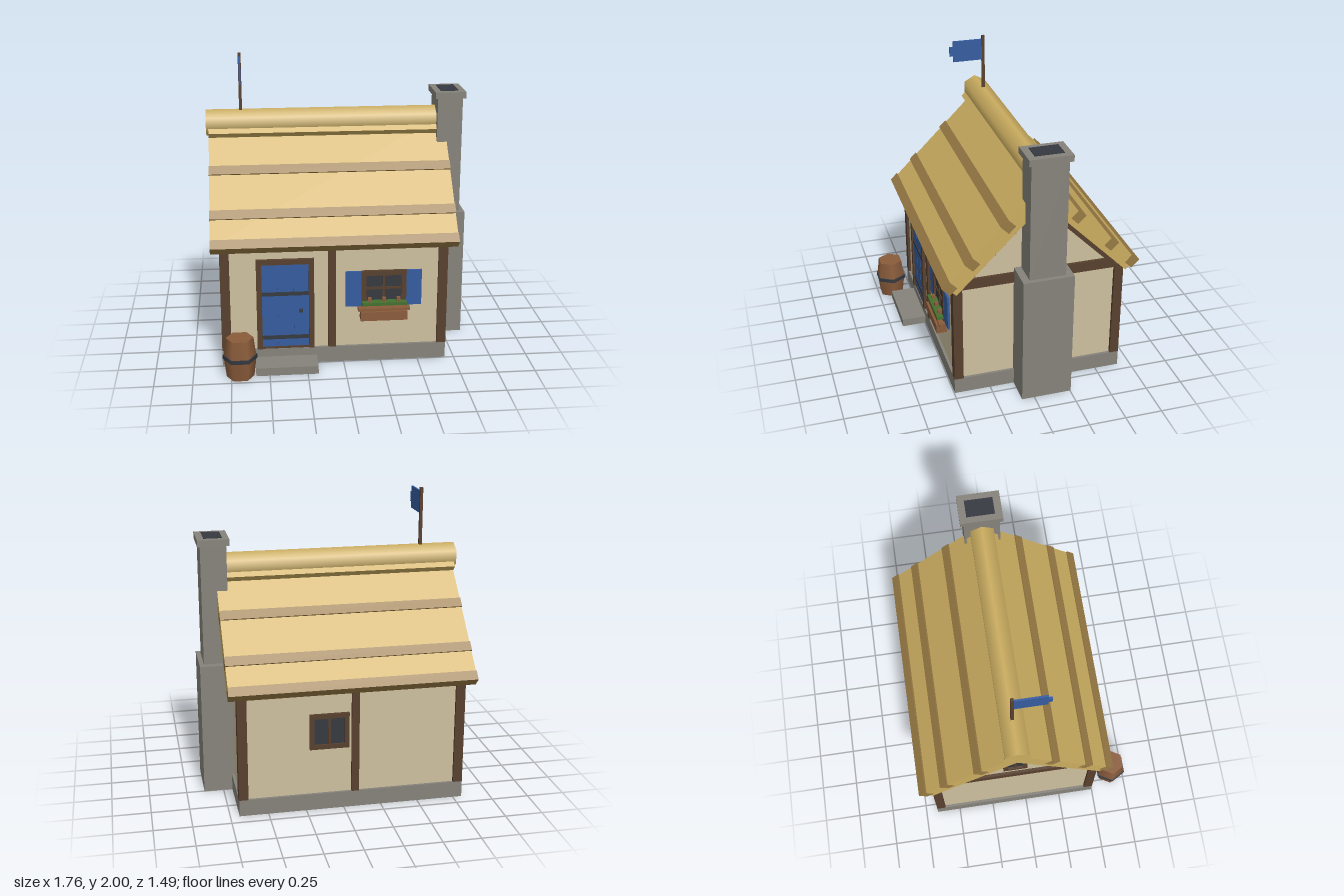
import * as THREE from 'three';

const mat = (name, color) => {
  const m = new THREE.MeshStandardMaterial({ color });
  m.name = name;
  return m;
};

export function createModel() {
  const straw = mat('straw', 0xcbad60);
  const darkStraw = mat('dark straw', 0x987a44);
  const timber = mat('timber', 0x58402e);
  const plaster = mat('plaster', 0xcdc09f);
  const stone = mat('stone', 0x86837b);
  const iron = mat('iron and glass', 0x353a40);
  const blue = mat('blue paint', 0x355c9f);
  const wood = mat('warm wood', 0x8a5c3b);
  const green = mat('leaves', 0x44702f);

  const model = new THREE.Group();
  model.name = 'cottage';
  const ZC = -0.085; // depth of the ridge line
  const XC = -0.06; // middle of the house

  const add = (name, geo, m, x = 0, y = 0, z = 0, parent = model) => {
    const mesh = new THREE.Mesh(geo, m);
    mesh.name = name;
    mesh.position.set(x, y, z);
    parent.add(mesh);
    return mesh;
  };
  // Box given by its limits
  const box = (name, m, x0, x1, y0, y1, z0, z1, parent = model) =>
    add(name, new THREE.BoxGeometry(x1 - x0, y1 - y0, z1 - z0), m,
      (x0 + x1) / 2, (y0 + y1) / 2, (z0 + z1) / 2, parent);
  const group = (name) => {
    const g = new THREE.Group();
    g.name = name;
    model.add(g);
    return g;
  };

  // Foundation, step and gabled plaster body
  box('foundation', stone, -0.81, 0.69, 0, 0.11, -0.665, 0.495);
  box('doorStep', stone, -0.59, -0.18, 0, 0.055, 0.49, 0.665);
  const gable = new THREE.Shape();
  gable.moveTo(-0.562, 0.11);
  gable.lineTo(0.562, 0.11);
  gable.lineTo(0.562, 0.84);
  gable.lineTo(0, 1.4);
  gable.lineTo(-0.562, 0.84);
  const body = new THREE.ExtrudeGeometry(gable, { depth: 1.464, bevelEnabled: false });
  body.rotateY(Math.PI / 2);
  add('walls', body, plaster, XC - 0.732, 0, ZC);

  // Timber frame: posts, end beams and sloping gable braces
  for (const [z0, z1] of [[0.433, 0.495], [-0.665, -0.603]]) {
    box('cornerPost', timber, -0.81, -0.748, 0.11, 0.815, z0, z1);
    box('cornerPost', timber, 0.63, 0.692, 0.11, 0.815, z0, z1);
    box('middlePost', timber, -0.102, -0.052, 0.11, 0.815, z0, z1);
  }
  for (const s of [-1, 1]) {
    const x = XC + s * 0.735;
    box('endBeam', timber, x - 0.016, x + 0.016, 0.795, 0.865, -0.61, 0.44);
    for (const side of [-1, 1]) {
      const brace = add('gableBrace', new THREE.BoxGeometry(0.03, 0.04, 0.465), timber,
        x, 1.035, ZC + side * 0.31);
      brace.rotation.x = side * Math.PI / 4;
    }
  }

  // Thatched roof: two slabs that cross at the ridge, with raised bands
  const slope = (name, m, side, width, thick, length, sum, diff) => {
    const part = add(name, new THREE.BoxGeometry(width, thick, length), m,
      XC + 0.002, (sum + diff) / 2, ZC + side * (sum - diff) / 2);
    part.rotation.x = side * Math.PI / 4;
  };
  for (const side of [-1, 1]) {
    slope('roofSlab', straw, side, 1.612, 0.1, 0.955, 1.44, 0.905);
    for (const d of [1.01, 0.545, 0.245])
      slope('roofBand', darkStraw, side, 1.616, 0.075, 0.066, 1.4725, d);
  }
  const ridge = new THREE.CylinderGeometry(0.09, 0.09, 1.64, 6);
  ridge.rotateY(Math.PI / 2);
  ridge.rotateZ(Math.PI / 2);
  add('ridgeRoll', ridge, straw, XC, 1.53, ZC);

  // Chimney
  box('chimneyBase', stone, 0.66, 0.88, 0, 0.895, -0.255, 0.085);
  box('chimneyStack', stone, 0.68, 0.85, 0.88, 1.7, -0.205, 0.037);
  box('chimneyCap', stone, 0.66, 0.868, 1.692, 1.735, -0.227, 0.057);
  box('chimneyOpening', iron, 0.703, 0.823, 1.733, 1.74, -0.18, 0.008);

  // Door with planks, straps and knob
  const door = group('door');
  box('doorFrame', timber, -0.575, -0.54, 0.11, 0.745, 0.46, 0.5, door);
  box('doorFrame', timber, -0.23, -0.195, 0.11, 0.745, 0.46, 0.5, door);
  box('doorLintel', timber, -0.54, -0.23, 0.71, 0.745, 0.46, 0.5, door);
  box('doorSill', timber, -0.54, -0.23, 0.11, 0.125, 0.46, 0.49, door);
  box('doorBack', blue, -0.54, -0.23, 0.125, 0.71, 0.46, 0.482, door);
  for (const x of [-0.539, -0.434, -0.329])
    box('doorPlank', blue, x, x + 0.097, 0.125, 0.709, 0.47, 0.488, door);
  for (const y of [0.18, 0.49])
    box('doorStrap', iron, -0.54, -0.23, y, y + 0.025, 0.48, 0.495, door);
  box('doorKnob', iron, -0.292, -0.27, 0.37, 0.392, 0.48, 0.505, door);

  // Window facing +z of its own group, centred on the origin
  const makeWindow = (name, w, h, bar, crossBar, x, y, z, turn) => {
    const g = group(name);
    const a = w / 2, b = h / 2;
    box('glass', iron, -a + 0.01, a - 0.01, -b + 0.01, b - 0.01, -0.01, 0.006, g);
    for (const s of [-1, 1]) {
      const cx = s * (a - bar / 2), cy = s * (b - bar / 2);
      box('windowJamb', timber, cx - bar / 2, cx + bar / 2, -b, b, -0.01, 0.02, g);
      box('windowRail', timber, -a + bar, a - bar, cy - bar / 2, cy + bar / 2, -0.01, 0.02, g);
    }
    box('mullion', timber, -0.008, 0.008, -b + bar, b - bar, -0.01, 0.014, g);
    if (crossBar) box('crossBar', timber, -a + bar, a - bar, -0.008, 0.008, -0.01, 0.013, g);
    g.position.set(x, y, z);
    g.rotation.y = turn;
  };
  makeWindow('frontWindow', 0.3, 0.25, 0.034, true, 0.268, 0.52, 0.477, 0);
  makeWindow('backWindow', 0.26, 0.24, 0.03, false, 0.095, 0.545, -0.647, Math.PI);
  makeWindow('gableWindow', 0.16, 0.21, 0.03, false, -0.792, 1.08, ZC, -Math.PI / 2);

  // Shutters and flower box
  box('shutter', blue, 0.015, 0.118, 0.395, 0.642, 0.47, 0.492);
  box('shutter', blue, 0.418, 0.52, 0.395, 0.642, 0.47, 0.492);
  const planter = group('flowerBox');
  box('planterBox', wood, 0.11, 0.42, 0.31, 0.372, 0.47, 0.547, planter);
  box('windowSill', wood, 0.095, 0.44, 0.372, 0.39, 0.47, 0.532, planter);
  box('leaves', green, 0.12, 0.417, 0.414, 0.434, 0.47, 0.54, planter);
  for (const x of [0.172, 0.268, 0.364])
    box('flower', wood, x - 0.012, x + 0.012, 0.434, 0.46, 0.498, 0.523, planter);

  // Six-sided barrel with a hoop
  const barrel = group('barrel');
  const drum = (name, m, rTop, rBottom, h, y) => {
    const geo = new THREE.CylinderGeometry(rTop, rBottom, h, 6);
    geo.rotateY(Math.PI / 6);
    add(name, geo, m, 0, y, 0, barrel);
  };
  drum('barrelBottom', wood, 0.107, 0.09, 0.1375, 0.06875);
  drum('barrelTop', wood, 0.09, 0.107, 0.1375, 0.20625);
  drum('barrelHoop', iron, 0.113, 0.113, 0.026, 0.141);
  barrel.position.set(-0.692, 0, 0.648);

  // Flag on its pole
  box('flagPole', timber, -0.655, -0.635, 1.55, 2, ZC - 0.01, ZC + 0.01);
  box('flag', blue, -0.651, -0.639, 1.825, 1.975, -0.08, 0.133);
  box('flagTail', blue, -0.651, -0.639, 1.868, 1.935, 0.133, 0.158);

  return model;
}
